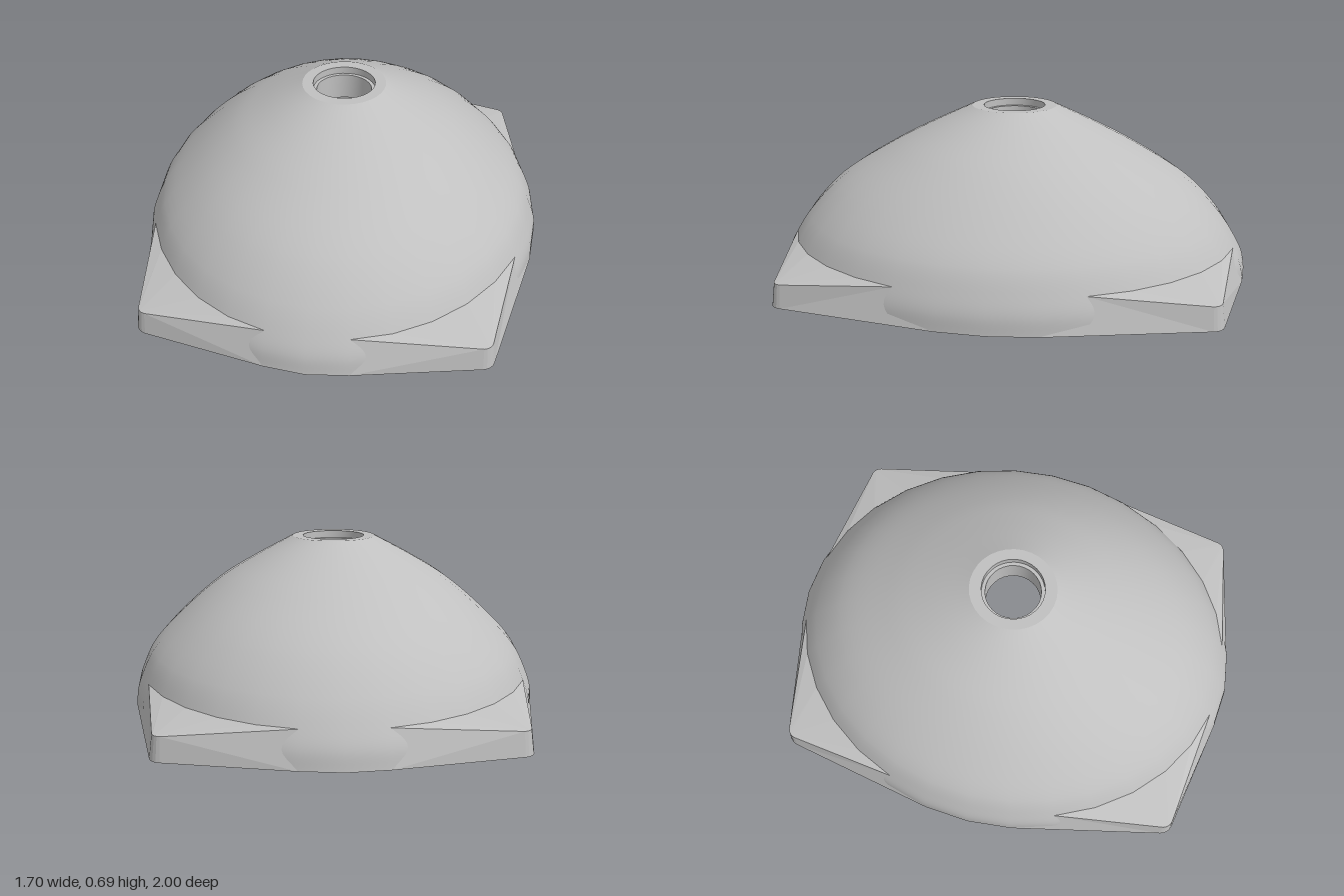
import * as THREE from 'three';

const SEG = 32;
const grey = new THREE.MeshStandardMaterial({ color: 0xc0c0c0 });
grey.name = 'light grey';

// Surface through stacked ellipses, each given as [x radius, y, z radius]
function loft(rings) {
  const pos = [], index = [];
  rings.forEach(([rx, y, rz], i) => {
    for (let j = 0; j < SEG; j++) {
      const t = (j / SEG) * Math.PI * 2;
      pos.push(rx * Math.cos(t), y, rz * Math.sin(t));
      if (i === rings.length - 1) continue;
      const a = i * SEG + j, b = i * SEG + (j + 1) % SEG;
      index.push(a, a + SEG, b, b, a + SEG, b + SEG);
    }
  });
  const g = new THREE.BufferGeometry();
  g.setAttribute('position', new THREE.Float32BufferAttribute(pos, 3));
  g.setIndex(index);
  g.computeVertexNormals();
  return g;
}

// Dome profile: [x radius, y, z radius]
const profile = [
  [0.85, 0, 1], [0.845, 0.07, 0.987], [0.822, 0.14, 0.953], [0.775, 0.235, 0.89],
  [0.65, 0.37, 0.76], [0.485, 0.51, 0.54], [0.34, 0.6, 0.37], [0.175, 0.69, 0.18],
];
const smooth = pts => new THREE.CatmullRomCurve3(pts.map(p => new THREE.Vector3(...p)))
  .getPoints(35).map(v => v.toArray());

// Corner lug: rounded corner of the base outline
const CORNER = [0.647, 0.823];
const HOLE = [0.645, 0.815], HOLE_R = 0.02;
function cornerArc(r, y) {
  return [0, 1, 2, 3, 4].map(k => {
    const t = THREE.MathUtils.degToRad(11 + k * 16.75);
    return [CORNER[0] + r * Math.cos(t), y, CORNER[1] + r * Math.sin(t)];
  });
}
function onEllipse(rx, y, rz, j) {
  const t = (j / SEG) * Math.PI * 2;
  return [rx * Math.cos(t), y, rz * Math.sin(t)];
}
const basePath = [onEllipse(0.85, 0, 1, 1), ...cornerArc(0.055, 0), onEllipse(0.85, 0, 1, 7)];

function lugGeometry(sx, sz) {
  const ring = [2, 3, 4, 5, 6, 7].map(j => onEllipse(0.822, 0.14, 0.953, j));
  const arc = cornerArc(0.043, 0.095);
  const topPath = [ring[0], ...arc, ring[5]];
  const pos = [];
  const tri = (a, b, c) => {
    const order = sx * sz > 0 ? [a, b, c] : [a, c, b];
    order.forEach(p => pos.push(p[0] * sx, p[1], p[2] * sz));
  };
  // Drafted outer wall
  for (let i = 0; i < topPath.length - 1; i++) {
    tri(basePath[i], topPath[i], basePath[i + 1]);
    tri(basePath[i + 1], topPath[i], topPath[i + 1]);
  }
  // Sloping top face
  for (let k = 0; k < 5; k++) {
    tri(ring[k], ring[k + 1], arc[k]);
    if (k < 4) tri(ring[k + 1], arc[k + 1], arc[k]);
  }
  const g = new THREE.BufferGeometry();
  g.setAttribute('position', new THREE.Float32BufferAttribute(pos, 3));
  g.computeVertexNormals();
  return g;
}

// Flat underside with the dome opening and screw holes cut out
function undersideGeometry(innerX, innerZ) {
  const quarter = [[0.85, 0, 0], ...basePath, [0, 0, 1]];
  const outline = [];
  [[1, 1], [-1, 1], [-1, -1], [1, -1]].forEach(([sx, sz], q) => {
    const pts = q % 2 ? [...quarter].reverse() : quarter;
    pts.slice(0, -1).forEach(p => outline.push(new THREE.Vector2(p[0] * sx, p[2] * sz)));
  });
  const shape = new THREE.Shape(outline);
  const hole = (cx, cy, rx, ry, n) => {
    const pts = [];
    for (let j = 0; j < n; j++) {
      const t = (j / n) * Math.PI * 2;
      pts.push(new THREE.Vector2(cx + rx * Math.cos(t), cy + ry * Math.sin(t)));
    }
    shape.holes.push(new THREE.Path(pts));
  };
  hole(0, 0, innerX, innerZ, SEG);
  for (const sx of [1, -1]) for (const sz of [1, -1]) hole(HOLE[0] * sx, HOLE[1] * sz, HOLE_R, HOLE_R, 16);
  return new THREE.ShapeGeometry(shape).rotateX(Math.PI / 2);
}

export function createModel() {
  const model = new THREE.Group();
  model.name = 'domeCover';
  const add = (name, geometry, material = grey) => {
    const mesh = new THREE.Mesh(geometry, material);
    mesh.name = name;
    model.add(mesh);
    return mesh;
  };

  // Shell
  const inner = profile.map(([x, y, z]) => [x * 0.937, y * 0.92, z * 0.942]);
  add('outerDome', loft(smooth(profile)));
  add('innerDome', loft(smooth(inner).reverse()));

  // Top opening: flat rim, stepped bore and the collar hanging inside
  const circle = (r, y) => [r, y, r];
  const collar = [
    [0.175, 0.69, 0.18], circle(0.13, 0.69), circle(0.13, 0.66), circle(0.115, 0.66),
    circle(0.115, 0.55), circle(0.164, 0.55), [0.164, 0.635, 0.17],
  ];
  const names = ['topRim', 'upperBore', 'boreStep', 'lowerBore', 'collarEnd', 'collarWall'];
  names.forEach((name, i) => add(name, loft([collar[i], collar[i + 1]])));

  // Base with four corner lugs and blind screw holes
  add('underside', undersideGeometry(inner[0][0], inner[0][2]));
  for (const sx of [1, -1]) {
    for (const sz of [1, -1]) {
      add('cornerLug', lugGeometry(sx, sz));
      const bore = loft([circle(HOLE_R, 0.085), circle(HOLE_R, 0)]);
      add('screwHoleWall', bore).position.set(HOLE[0] * sx, 0, HOLE[1] * sz);
      const cap = new THREE.CircleGeometry(HOLE_R, 16).rotateX(Math.PI / 2);
      add('screwHoleEnd', cap).position.set(HOLE[0] * sx, 0.085, HOLE[1] * sz);
    }
  }
  return model;
}
